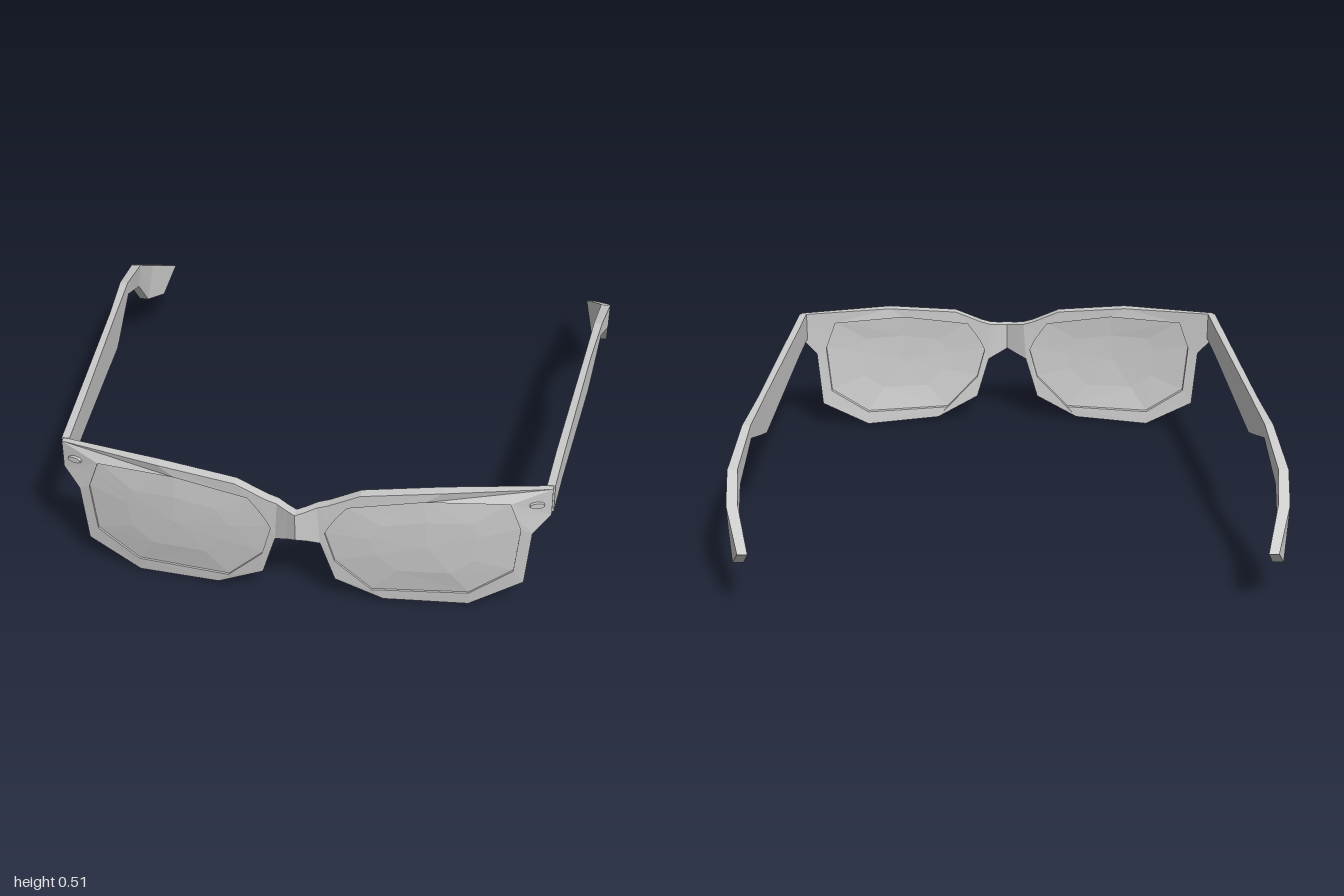
import * as THREE from 'three';

const material = new THREE.MeshStandardMaterial({ color: 0xcccccc, flatShading: true });

// Piecewise-linear lookup through [key, value] pairs with ascending keys.
function lerpTable(table, k) {
  if (k <= table[0][0]) return table[0][1];
  for (let i = 1; i < table.length; i++) {
    const [k0, v0] = table[i - 1], [k1, v1] = table[i];
    if (k <= k1) return v0 + (v1 - v0) * (k - k0) / (k1 - k0);
  }
  return table[table.length - 1][1];
}

// Joins rings of points into a faceted skin; optionally loops round or caps four-point ends.
function loft(sections, { loop = false, cap = false } = {}) {
  const pos = [];
  const tri = (a, b, c) => {
    const area = new THREE.Vector3().subVectors(b, a).cross(new THREE.Vector3().subVectors(c, a)).length();
    if (area > 1e-8) pos.push(...a.toArray(), ...b.toArray(), ...c.toArray());
  };
  const quad = (a, b, c, d) => { tri(a, b, c); tri(a, c, d); };
  const n = sections.length, m = sections[0].length;
  for (let i = 0; i < (loop ? n : n - 1); i++) {
    const s = sections[i], t = sections[(i + 1) % n];
    for (let j = 0; j < m; j++) quad(s[j], t[j], t[(j + 1) % m], s[(j + 1) % m]);
  }
  if (cap) {
    quad(...sections[0]);
    quad(...[...sections[n - 1]].reverse());
  }
  const geometry = new THREE.BufferGeometry();
  geometry.setAttribute('position', new THREE.Float32BufferAttribute(pos, 3));
  geometry.computeVertexNormals();
  return geometry;
}

// Mirrors a triangle-soup geometry in x and restores its winding.
function mirrored(geometry) {
  const p = geometry.attributes.position, pos = [];
  for (let i = 0; i < p.count; i += 3)
    for (const k of [i, i + 2, i + 1]) pos.push(-p.getX(k), p.getY(k), p.getZ(k));
  const out = new THREE.BufferGeometry();
  out.setAttribute('position', new THREE.Float32BufferAttribute(pos, 3));
  out.computeVertexNormals();
  return out;
}

// Wrapped front surface: sweeps back to the sides and slightly towards the bottom.
const WRAP = [[0, 0.965], [0.07, 0.926], [0.22, 0.915], [0.5, 0.887], [0.8, 0.83], [0.88, 0.79]];
const THICKNESS = [[0.07, 0.038], [0.6, 0.042], [0.8, 0.042], [0.87, 0.022]];
const frontZ = (x, y) => lerpTable(WRAP, Math.abs(x)) - 0.028 * Math.max(0, (0.42 - y) / 0.42) ** 2;
const onFront = (x, y, depth = 0) => new THREE.Vector3(x, y, frontZ(x, y) - depth);
const onBack = (x, y) => onFront(x, y, lerpTable(THICKNESS, Math.abs(x)));

// Matching outer and lens-opening outlines of one eye: [outer x, outer y, inner x, inner y].
const RIM = [
  [0.07, 0.425, 0.115, 0.35], [0.11, 0.437, 0.14, 0.388], [0.22, 0.485, 0.17, 0.43],
  [0.5, 0.51, 0.44, 0.47], [0.87, 0.508, 0.73, 0.46], [0.87, 0.4, 0.748, 0.41],
  [0.81, 0.33, 0.77, 0.35], [0.79, 0.107, 0.752, 0.16], [0.6, 0.003, 0.6, 0.055],
  [0.3, 0.018, 0.26, 0.06], [0.13, 0.105, 0.13, 0.19], [0.08, 0.27, 0.096, 0.315],
];

function rimGeometry() {
  return loft(RIM.map(([ox, oy, ix, iy]) =>
    [onFront(ox, oy), onBack(ox, oy), onBack(ix, iy), onFront(ix, iy)]), { loop: true });
}

// Thin curved lens, set a little behind the front of its rim.
function lensGeometry() {
  const cx = 0.45, cy = 0.27;
  const ring = (t, depth) => RIM.map(([, , x, y]) =>
    onFront(cx + (x - cx) * t, cy + (y - cy) * t, depth));
  return loft([ring(0, 0.018), ring(0.55, 0.019), ring(1, 0.024),
    ring(1, 0.008), ring(0.55, 0.003), ring(0, 0.002)]);
}

// Pointed nose bridge between the two rims.
function bridgeGeometry() {
  const half = [[0, 0.412, 0, 0.305], [0.03, 0.416, 0.035, 0.29], [0.07, 0.425, 0.08, 0.27]];
  const section = ([tx, ty, bx, by], s) =>
    [onFront(s * tx, ty), onBack(s * tx, ty), onBack(s * bx, by), onFront(s * bx, by)];
  return loft([section(half[2], -1), section(half[1], -1), section(half[0], 1),
    section(half[1], 1), section(half[2], 1)]);
}

// Side arm: [top z, top y, bottom z, bottom y] from hinge to ear tip.
const ARM = [
  [0.777, 0.51, 0.777, 0.4], [0.56, 0.505, 0.555, 0.392], [-0.11, 0.482, -0.11, 0.332],
  [-0.2, 0.478, -0.2, 0.36], [-0.38, 0.472, -0.38, 0.42], [-0.64, 0.405, -0.595, 0.33],
  [-0.78, 0.328, -0.715, 0.197], [-0.965, 0.228, -0.855, 0.145],
];
const ARM_OUTER = [[-0.965, 0.932], [-0.77, 0.992], [-0.62, 1], [-0.11, 0.946], [0.56, 0.892], [0.777, 0.876]];
const ARM_INNER = [[-0.965, 0.896], [-0.74, 0.958], [-0.62, 0.963], [-0.11, 0.921], [0.56, 0.863], [0.777, 0.847]];

function armGeometry() {
  const corner = (table, z, y) => new THREE.Vector3(lerpTable(table, z), y, z);
  return loft(ARM.map(([tz, ty, bz, by]) => [
    corner(ARM_OUTER, bz, by), corner(ARM_OUTER, tz, ty),
    corner(ARM_INNER, tz, ty), corner(ARM_INNER, bz, by)]), { cap: true });
}

// Small oval rivet on the end piece.
function rivetGeometry() {
  const g = new THREE.CylinderGeometry(1, 1, 0.012, 10).rotateX(Math.PI / 2);
  g.scale(0.027, 0.011, 1).rotateY(0.3);
  const c = onFront(0.82, 0.45);
  return g.translate(c.x, c.y, c.z - 0.002).toNonIndexed();
}

export function createModel() {
  const model = new THREE.Group();
  model.name = 'sunglasses';
  const add = (name, geometry) => {
    const mesh = new THREE.Mesh(geometry, material);
    mesh.name = name;
    model.add(mesh);
  };
  add('bridge', bridgeGeometry());
  const sides = { Rim: rimGeometry(), Lens: lensGeometry(), Arm: armGeometry(), Rivet: rivetGeometry() };
  for (const [part, geometry] of Object.entries(sides)) {
    add('left' + part, geometry);
    add('right' + part, mirrored(geometry));
  }
  return model;
}
